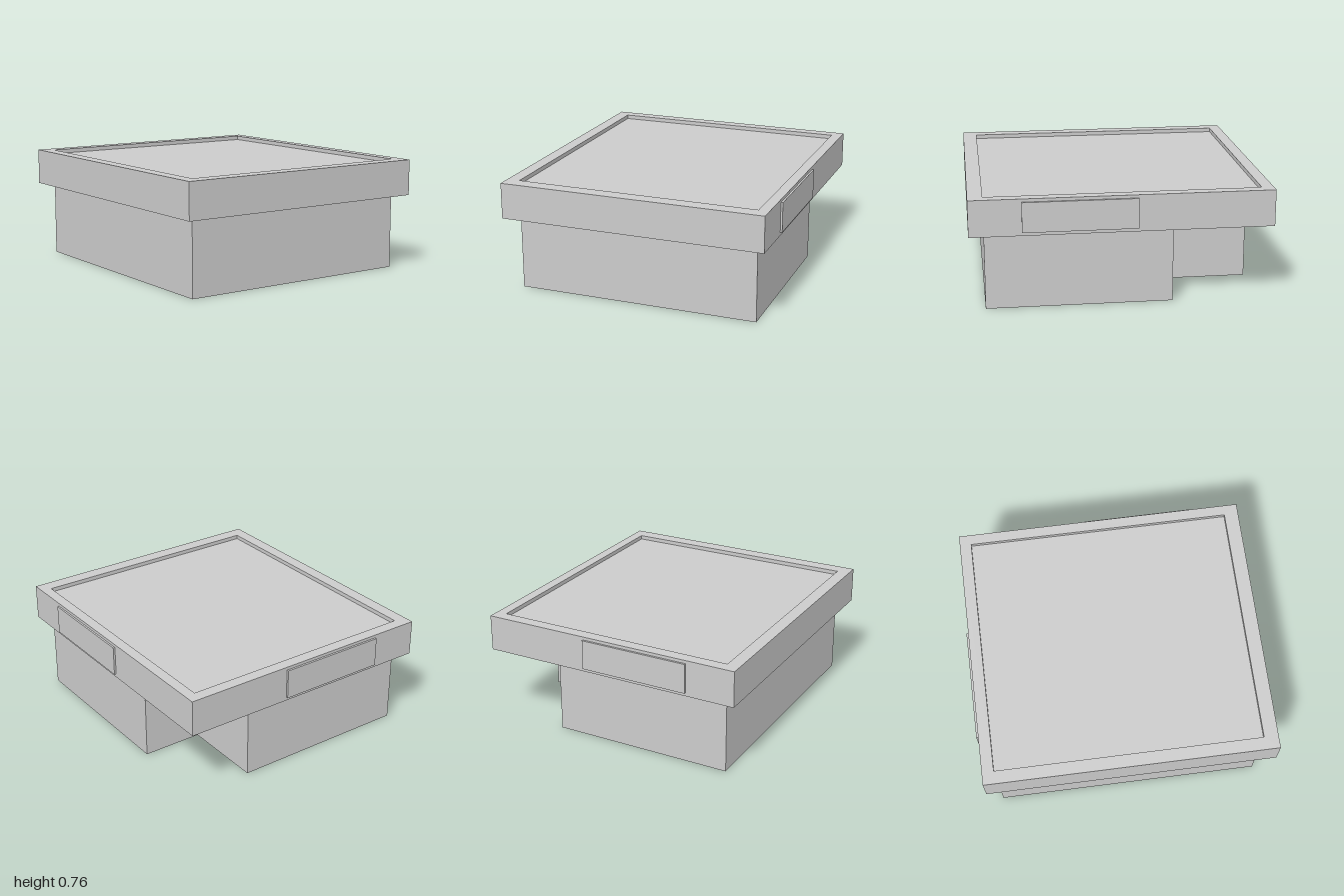
import * as THREE from 'three';

const material = new THREE.MeshStandardMaterial({ color: 0xcccccc, flatShading: true, side: THREE.DoubleSide });

const rect = (x0, x1, z0, z1) => [[x0, z1], [x1, z1], [x1, z0], [x0, z0]];
const points = (list) => list.map(([x, z]) => new THREE.Vector2(x, -z));

// Level sheet at height y, drawn as an x-z outline with an optional hole
function sheet(name, outline, y, hole) {
  const shape = new THREE.Shape(points(outline));
  if (hole) shape.holes.push(new THREE.Path(points(hole)));
  const mesh = new THREE.Mesh(new THREE.ShapeGeometry(shape).rotateX(-Math.PI / 2), material);
  mesh.name = name;
  mesh.position.y = y;
  return mesh;
}

// Thin upright walls following a closed x-z outline between two heights
function walls(name, outline, y0, y1) {
  const group = new THREE.Group();
  group.name = name;
  outline.forEach(([x0, z0], i) => {
    const [x1, z1] = outline[(i + 1) % outline.length];
    const wall = new THREE.Mesh(new THREE.PlaneGeometry(Math.hypot(x1 - x0, z1 - z0), y1 - y0), material);
    wall.name = 'wall';
    wall.position.set((x0 + x1) / 2, (y0 + y1) / 2, (z0 + z1) / 2);
    wall.rotation.y = Math.atan2(z0 - z1, x1 - x0);
    group.add(wall);
  });
  return group;
}

function box(name, x0, x1, y0, y1, z0, z1) {
  const mesh = new THREE.Mesh(new THREE.BoxGeometry(x1 - x0, y1 - y0, z1 - z0), material);
  mesh.name = name;
  mesh.position.set((x0 + x1) / 2, (y0 + y1) / 2, (z0 + z1) / 2);
  return mesh;
}

export function createModel() {
  const model = new THREE.Group();
  model.name = 'recessedTray';

  const rim = rect(-0.915, 0.902, -0.986, 1);
  const recess = rect(-0.828, 0.83, -0.906, 0.902);
  // Base outline with one back corner cut away
  const base = [
    [-0.828, 0.902], [0.83, 0.902], [0.83, -0.33],
    [0.415, -0.33], [0.415, -0.905], [-0.828, -0.905],
  ];
  const rimBottom = 0.513, panel = 0.73, rimTop = 0.758;

  // Thin-walled base, open above and below
  model.add(walls('base', base, 0, rimBottom));

  // Overhanging hollow lid, open underneath, with a shallow recessed top
  model.add(walls('rimSides', rim, rimBottom, rimTop));
  model.add(sheet('rimTop', rim, rimTop, recess));
  model.add(walls('recessWalls', recess, panel, rimTop));
  model.add(sheet('topPanel', recess, panel));

  // Raised plates on the left side and the back
  model.add(box('sidePlate', 0.902, 0.915, 0.536, 0.737, -0.09, 0.66));
  model.add(box('backPlate', -0.58, 0.17, 0.536, 0.737, -1, -0.986));

  return model;
}
